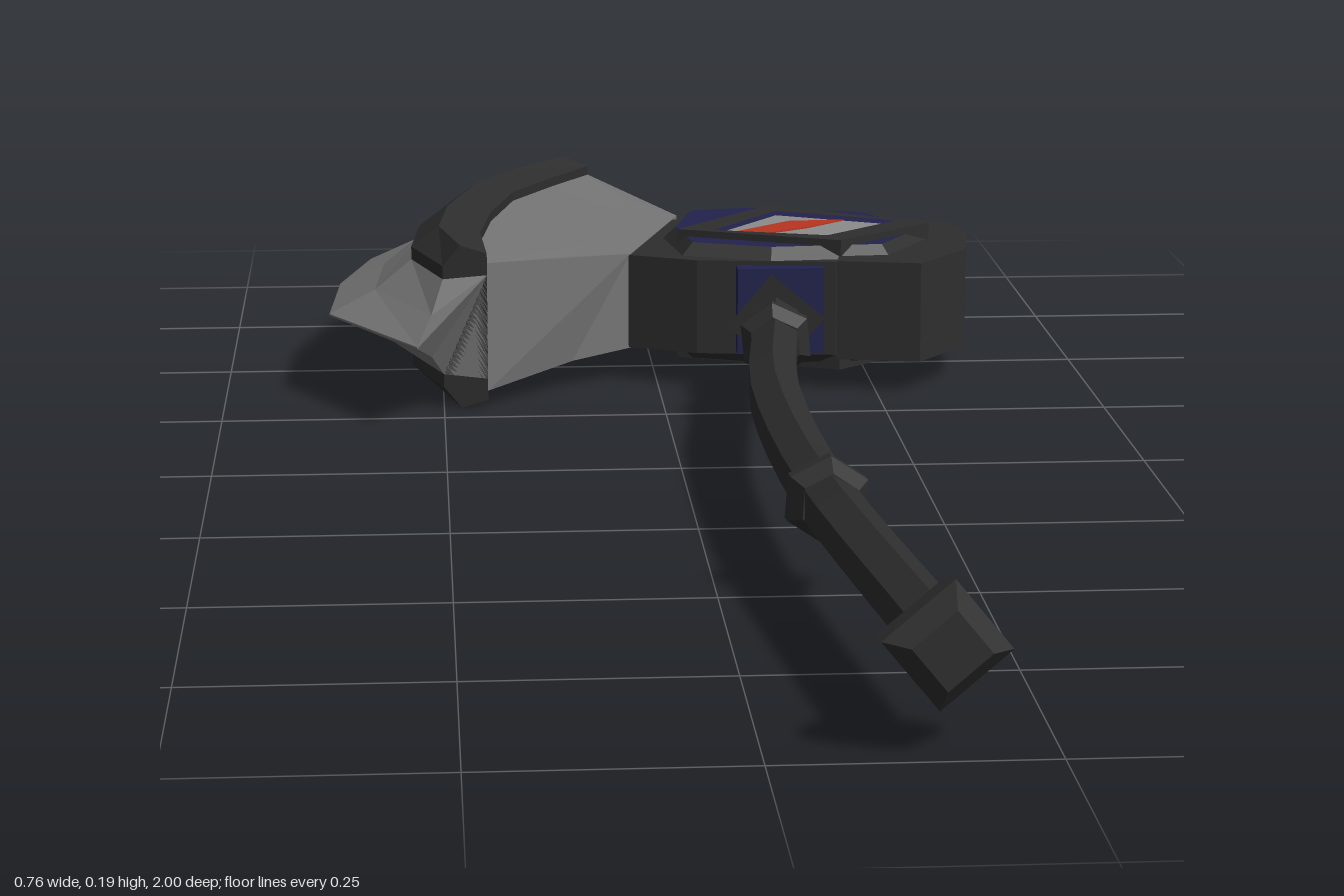
import * as THREE from 'three';

const CY = 0.096; // height of the mid plane

const mat = (name, color, side = THREE.FrontSide) => {
  const m = new THREE.MeshStandardMaterial({ color, flatShading: true, side });
  m.name = name;
  return m;
};

// Closed solid through rings of [x, y, z] points, with capped ends.
function loft(rings) {
  const pos = [];
  const tri = (a, b, c) => pos.push(...a, ...b, ...c);
  const n = rings[0].length;
  for (let i = 0; i < rings.length - 1; i++) {
    for (let j = 0; j < n; j++) {
      const k = (j + 1) % n;
      tri(rings[i][j], rings[i + 1][j], rings[i + 1][k]);
      tri(rings[i][j], rings[i + 1][k], rings[i][k]);
    }
  }
  const first = rings[0], last = rings[rings.length - 1];
  for (let j = 1; j < n - 1; j++) {
    tri(first[0], first[j], first[j + 1]);
    tri(last[0], last[j + 1], last[j]);
  }
  // turn the faces outward if the enclosed volume comes out negative
  let volume = 0;
  const v = (i) => new THREE.Vector3(pos[i], pos[i + 1], pos[i + 2]);
  for (let i = 0; i < pos.length; i += 9) volume += v(i).dot(v(i + 3).cross(v(i + 6)));
  if (volume < 0) {
    for (let i = 0; i < pos.length; i += 9) {
      for (let c = 0; c < 3; c++) [pos[i + 3 + c], pos[i + 6 + c]] = [pos[i + 6 + c], pos[i + 3 + c]];
    }
  }
  const g = new THREE.BufferGeometry();
  g.setAttribute('position', new THREE.Float32BufferAttribute(pos, 3));
  g.computeVertexNormals();
  return g;
}

// Flat slab from an outline of [x, z] points, reaching half above and below the mid plane.
function slab(points, half, bevel = 0, hole = null) {
  const toV = (p) => new THREE.Vector2(p[0], -p[1]);
  const shape = new THREE.Shape(points.map(toV));
  if (hole) shape.holes.push(new THREE.Path(hole.map(toV)));
  const g = new THREE.ExtrudeGeometry(shape, {
    depth: 2 * (half - bevel), bevelEnabled: bevel > 0, bevelThickness: bevel,
    bevelSize: bevel, bevelOffset: -bevel, bevelSegments: 1,
  });
  g.translate(0, 0, -(half - bevel));
  g.rotateX(-Math.PI / 2);
  g.translate(0, CY, 0);
  return g;
}

// Ring symmetric about the mid plane from [x, z, half height] points.
const ring = (pts) => [
  ...pts.map(([x, z, h]) => [x, CY + h, z]),
  ...pts.slice().reverse().map(([x, z, h]) => [x, CY - h, z]),
];
const mix = (a, b, t) => a.map((v, i) => v + (b[i] - v) * t);

export function createModel() {
  const root = new THREE.Group();
  root.name = 'battleAxe';
  const dark = mat('dark iron', 0x2e2e2e);
  const steel = mat('steel', 0x757575);
  const blue = mat('navy enamel', 0x22224e);
  const red = mat('red enamel', 0xb8351f);
  const silver = mat('silver inlay', 0x8c8c8c);
  const add = (name, geometry, material) => {
    const m = new THREE.Mesh(geometry, material);
    m.name = name;
    root.add(m);
    return m;
  };

  // Curves of the blade: cutting edge, outer and inner side of the dark band
  const edge = [[-0.09, -1.0], [-0.25, -0.865], [-0.335, -0.7], [-0.37, -0.55], [-0.38, -0.375], [-0.28, -0.19]];
  const outer = [[-0.11, -0.9], [-0.18, -0.815], [-0.235, -0.71], [-0.275, -0.55], [-0.285, -0.42], [-0.25, -0.3]];
  const inner = [[-0.06, -0.865], [-0.11, -0.78], [-0.16, -0.685], [-0.19, -0.55], [-0.205, -0.42], [-0.2, -0.295]];

  add('cuttingEdge', loft(edge.map((e, i) => {
    const o = outer[i], m = mix(o, e, 0.45);
    return ring([[...inner[i], 0.06], [...o, 0.055], [...m, 0.024], [...e, 0.001]]);
  })), steel);

  add('bladeBand', loft(outer.map((o, i) => ring([
    [...inner[i], 0.085], [...mix(inner[i], o, 0.6), 0.094], [...o, 0.07],
  ]))), dark);

  // Flared steel body between band and head
  add('bladeBody', loft(inner.map((b, i) => {
    const t = i / (inner.length - 1);
    const neck = mix([0.04, -0.67], [-0.03, -0.43], t);
    const waist = mix([-0.015, -0.745], [-0.1, -0.39], t);
    return ring([[...neck, 0.056], [...waist, 0.062], [...b, 0.074]]);
  })), steel);

  // Head
  add('headCore', slab([
    [-0.035, -0.5], [0.035, -0.65], [0.27, -0.62], [0.33, -0.53], [0.3, -0.38],
    [0.205, -0.37], [0.045, -0.39], [-0.035, -0.43],
  ], 0.055), dark);
  add('hammerFace', slab([
    [0.25, -0.62], [0.365, -0.598], [0.378, -0.53], [0.362, -0.42], [0.3, -0.34], [0.205, -0.36],
  ], 0.058), dark);
  add('backLug', slab([[0.02, -0.62], [0.035, -0.678], [0.1, -0.672], [0.125, -0.62]], 0.055, 0.012), dark);
  add('backLugWide', slab([[0.12, -0.62], [0.15, -0.678], [0.262, -0.648], [0.275, -0.6]], 0.055, 0.012), dark);

  // Enamelled plate on both faces, with a framed inlay
  add('headPlate', slab([
    [0.015, -0.53], [0.045, -0.645], [0.13, -0.66], [0.27, -0.62], [0.335, -0.5],
    [0.27, -0.39], [0.13, -0.38], [0.03, -0.42],
  ], 0.069, 0.014), [blue, dark]);
  const frame = [[0.15, -0.62], [0.328, -0.49], [0.212, -0.388], [0.028, -0.47]];
  const panel = [[0.154, -0.58], [0.292, -0.508], [0.2, -0.42], [0.07, -0.462]];
  add('inlayFrame', slab(frame, 0.077, 0, panel), dark);
  add('inlayPanel', slab(panel, 0.0715), silver);
  add('inlayStripe', slab([[0.1, -0.475], [0.165, -0.535], [0.232, -0.54], [0.185, -0.495], [0.125, -0.455]], 0.073), red);

  // Blue socket where the handle enters the head
  const socket = add('handleSocket', new THREE.BoxGeometry(0.1, 0.1, 0.05), blue);
  socket.position.set(0.14, CY, -0.385);

  // Curved handle
  const path = new THREE.CatmullRomCurve3([
    [0.14, -0.42], [0.12, -0.21], [0.095, 0.03], [0.092, 0.24], [0.103, 0.495], [0.152, 0.97],
  ].map(([x, z]) => new THREE.Vector3(x, CY, z)));
  add('handle', new THREE.TubeGeometry(path, 14, 0.029, 6, false), dark);

  // Turned rings along the handle: name, z, sides, profile of [radius, offset]
  const collar = [[0, -0.024], [0.03, -0.024], [0.043, -0.007], [0.043, 0.007], [0.03, 0.024], [0, 0.024]];
  const rings = [
    ['headGuard', -0.33, 4, [[0, -0.05], [0.036, -0.05], [0.036, 0], [0.056, 0.03], [0.03, 0.03], [0, 0.03]]],
    ['upperCollar', -0.21, 6, collar],
    ['lowerCollar', 0.495, 6, collar],
    ['pommel', 0.968, 4, [[0, -0.028], [0.035, -0.028], [0.057, -0.01], [0.057, 0.01], [0.035, 0.028], [0, 0.028]]],
  ];
  const up = new THREE.Vector3(0, 1, 0);
  for (const [name, z, sides, profile] of rings) {
    let t = 0;
    while (t < 1 && path.getPointAt(t).z < z) t += 0.002;
    t = Math.min(t, 1);
    const m = add(name, new THREE.LatheGeometry(profile.map((p) => new THREE.Vector2(...p)), sides), dark);
    m.position.copy(path.getPointAt(t));
    m.quaternion.setFromUnitVectors(up, path.getTangentAt(t));
  }
  return root;
}
